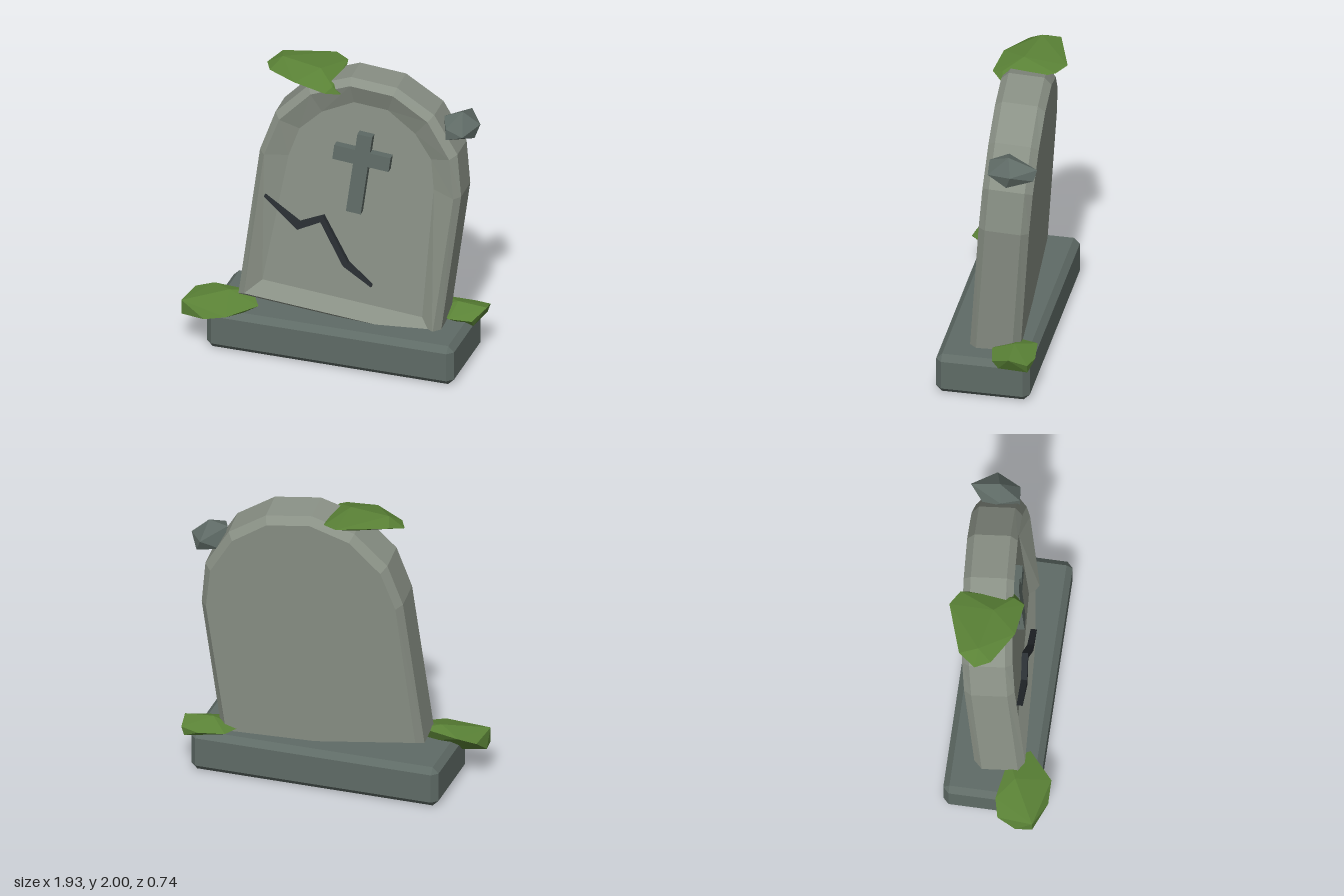
import * as THREE from 'three';
import { ConvexGeometry } from 'three/addons/geometries/ConvexGeometry.js';

const paint = (color) => new THREE.MeshStandardMaterial({ color, flatShading: true });
const STONE = paint(0x8a9186), DARK_STONE = paint(0x5f6b66), MOSS = paint(0x5a8236), CRACK = paint(0x2a2f33);

function part(parent, name, geometry, material) {
  const mesh = new THREE.Mesh(geometry, material);
  mesh.name = name;
  parent.add(mesh);
  return mesh;
}

// Faceted lump spanned by a few corner points
const lump = (points) => new ConvexGeometry(points.map((p) => new THREE.Vector3(...p)));

// Box with every edge chamfered by c
function chamferBox(w, h, d, c) {
  const pts = [];
  for (const x of [-1, 1]) for (const y of [-1, 1]) for (const z of [-1, 1]) {
    const half = [x * w / 2, y * h / 2, z * d / 2], s = [x, y, z];
    for (let k = 0; k < 3; k++) pts.push(half.map((v, i) => (i === k ? v : v - s[i] * c)));
  }
  return lump(pts);
}

// Mirrors the right half of an outline and sets its depth
const ring = (half, z) => [
  ...half.map(([x, y]) => [x, y, z]),
  ...half.slice().reverse().map(([x, y]) => [-x, y, z]),
];

// Skin over matching rings, back to front, with both ends capped
function skin(rings) {
  const pos = [], n = rings[0].length;
  const tri = (a, b, c) => pos.push(...a, ...b, ...c);
  for (let i = 0; i + 1 < rings.length; i++) {
    for (let j = 0; j < n; j++) {
      const k = (j + 1) % n, A = rings[i], B = rings[i + 1];
      tri(A[j], A[k], B[k]);
      tri(A[j], B[k], B[j]);
    }
  }
  const back = rings[0], front = rings[rings.length - 1];
  for (let j = 1; j + 1 < n; j++) {
    tri(back[0], back[j + 1], back[j]);
    tri(front[0], front[j], front[j + 1]);
  }
  const g = new THREE.BufferGeometry();
  g.setAttribute('position', new THREE.Float32BufferAttribute(pos, 3));
  g.computeVertexNormals();
  return g;
}

function extrude(points, depth) {
  const shape = new THREE.Shape(points.map(([x, y]) => new THREE.Vector2(x, y)));
  return new THREE.ExtrudeGeometry(shape, { depth, bevelEnabled: false });
}

export function createModel() {
  const model = new THREE.Group();
  model.name = 'gravestone';

  // Plinth
  part(model, 'base', chamferBox(1.69, 0.28, 0.62, 0.04), DARK_STONE).position.set(0.05, 0.14, -0.01);

  // Leaning headstone: everything carved on it shares its tilt
  const stone = new THREE.Group();
  stone.name = 'headstone';
  stone.position.set(0.06, 0.28, 0.152);
  stone.rotation.set(-0.075, 0.07, -0.113);
  model.add(stone);

  const outer = [[0.68, 0], [0.68, 1.05], [0.615, 1.34], [0.425, 1.58], [0.155, 1.71]];
  const rim = [[0.635, 0.03], [0.64, 1.04], [0.575, 1.31], [0.395, 1.54], [0.145, 1.665]];
  const panel = [[0.54, 0.13], [0.49, 1.05], [0.445, 1.255], [0.315, 1.41], [0.115, 1.53]];
  part(stone, 'slab', skin([
    ring(rim, -0.33), ring(outer, -0.28), ring(outer, -0.045), ring(rim, 0), ring(panel, -0.06),
  ]), STONE);

  // Raised cross
  const w = 0.05, arm = 0.19, lo = 1.125, hi = 1.225;
  const half = [[w, 0.78], [w, lo], [arm, lo], [arm, hi], [w, hi], [w, 1.34]];
  part(stone, 'cross', extrude(ring(half, 0), 0.07), DARK_STONE).position.z = -0.07;

  // Jagged crack, tapering to both ends
  part(stone, 'crack', extrude([
    [-0.593, 0.758], [-0.345, 0.58], [-0.2, 0.672], [-0.01, 0.4], [0.194, 0.297],
    [0.194, 0.307], [0.02, 0.428], [-0.188, 0.717], [-0.34, 0.632], [-0.593, 0.765],
  ], 0.04), CRACK).position.z = -0.01;

  // Moss clumps
  part(model, 'mossTop', lump([
    [-0.52, 1.93, -0.15], [-0.45, 1.97, -0.26], [-0.41, 1.995, -0.14], [-0.12, 1.96, -0.37],
    [-0.13, 1.985, -0.08], [-0.02, 1.95, -0.31], [-0.01, 1.93, 0.04], [-0.04, 1.91, 0.11],
    [-0.26, 1.94, 0.08], [-0.47, 1.93, -0.05], [0.04, 1.875, 0.03], [-0.18, 1.88, -0.2],
    [-0.36, 1.89, -0.08],
  ]), MOSS);
  part(model, 'mossLeft', lump([
    [-0.97, 0.22, 0.18], [-0.94, 0.31, 0.06], [-0.82, 0.34, 0.03], [-0.96, 0.32, 0.29],
    [-0.68, 0.37, 0.14], [-0.54, 0.355, 0.08], [-0.46, 0.32, 0.21], [-0.54, 0.29, 0.27],
    [-0.63, 0.29, 0.37], [-0.78, 0.25, 0.37], [-0.8, 0.18, 0.2], [-0.96, 0.22, 0.29],
    [-0.6, 0.25, 0.12],
  ]), MOSS);
  part(model, 'mossRight', lump([
    [0.6, 0.3, -0.2], [0.65, 0.31, -0.33], [0.83, 0.3, -0.35], [0.95, 0.31, -0.32],
    [0.965, 0.345, -0.2], [0.9, 0.29, -0.08], [0.75, 0.3, -0.05], [0.77, 0.36, -0.2],
    [0.9, 0.24, -0.12], [0.93, 0.25, -0.32], [0.7, 0.25, -0.18],
  ]), MOSS);

  // Loose rock lodged in the shoulder
  part(model, 'rock', lump([
    [0.81, 1.71, -0.36], [0.84, 1.64, -0.34], [0.92, 1.69, -0.2], [0.89, 1.6, -0.17],
    [0.85, 1.66, -0.04], [0.74, 1.71, -0.03], [0.74, 1.63, -0.03], [0.81, 1.78, -0.17],
    [0.69, 1.74, -0.15], [0.7, 1.62, -0.25], [0.77, 1.6, -0.15],
  ]), DARK_STONE);

  return model;
}
